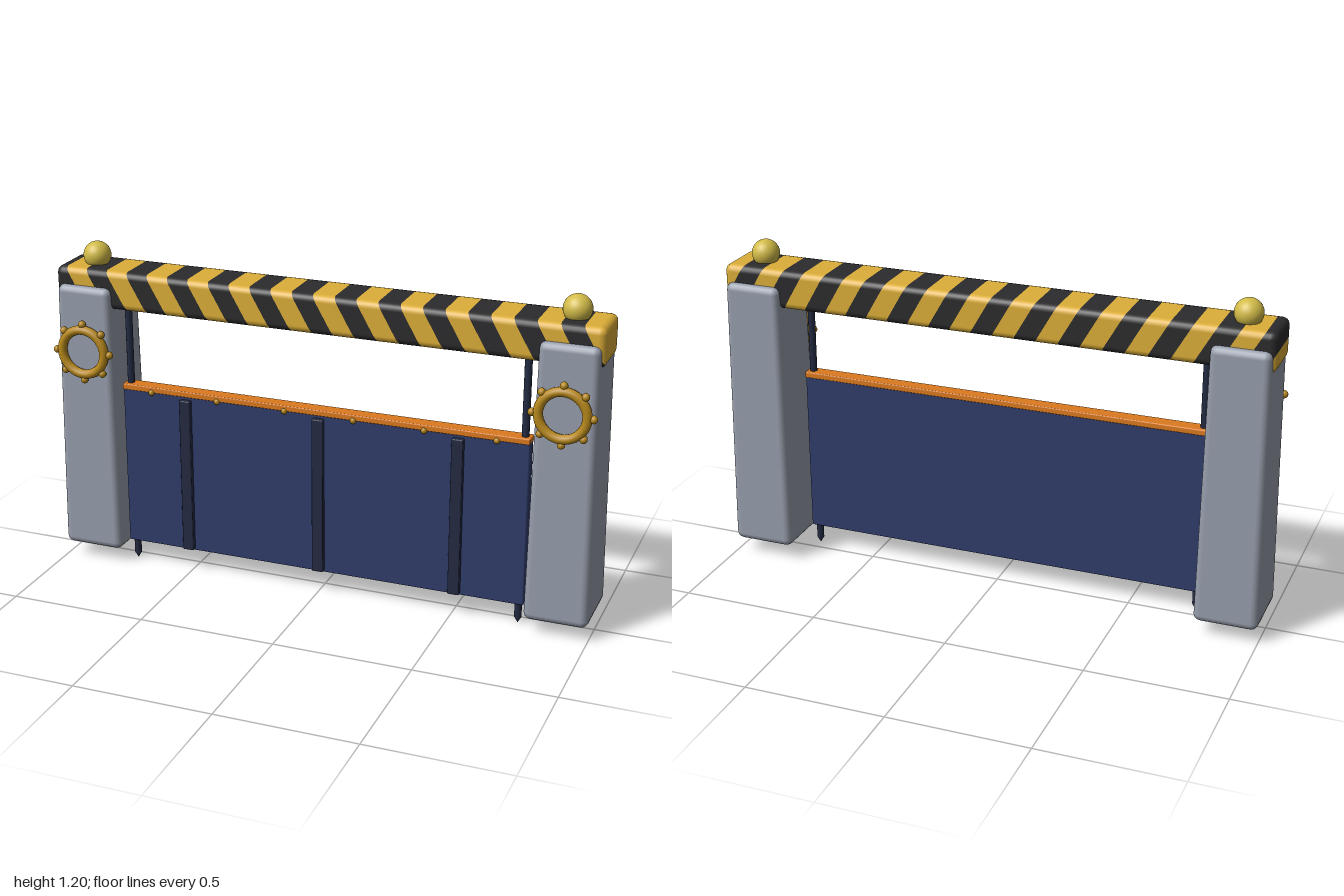
import * as THREE from 'three';
import { RoundedBoxGeometry } from 'three/addons/geometries/RoundedBoxGeometry.js';

const mat = (name, color) => {
  const m = new THREE.MeshStandardMaterial({ color });
  m.name = name;
  return m;
};

// Cut a non-indexed geometry to the slanted bands lo(i) <= f(p) <= hi(i), keeping its normals
function cutBands(geometry, f, bands) {
  const pos = geometry.attributes.position, nor = geometry.attributes.normal;
  const outPos = [], outNor = [];
  const clip = (poly, side) => {
    const res = [];
    poly.forEach((a, i) => {
      const b = poly[(i + 1) % poly.length], da = side(a.p), db = side(b.p);
      if (da >= 0) res.push(a);
      if (da * db < 0) {
        const t = da / (da - db);
        res.push({ p: a.p.clone().lerp(b.p, t), n: a.n.clone().lerp(b.n, t).normalize() });
      }
    });
    return res;
  };
  for (let i = 0; i < pos.count; i += 3) {
    const tri = [0, 1, 2].map((k) => ({
      p: new THREE.Vector3().fromBufferAttribute(pos, i + k),
      n: new THREE.Vector3().fromBufferAttribute(nor, i + k),
    }));
    for (const [lo, hi] of bands) {
      const poly = clip(clip(tri, (p) => f(p) - lo), (p) => hi - f(p));
      for (let k = 2; k < poly.length; k++) {
        for (const v of [poly[0], poly[k - 1], poly[k]]) {
          outPos.push(...v.p.toArray());
          outNor.push(...v.n.toArray());
        }
      }
    }
  }
  const g = new THREE.BufferGeometry();
  g.setAttribute('position', new THREE.Float32BufferAttribute(outPos, 3));
  g.setAttribute('normal', new THREE.Float32BufferAttribute(outNor, 3));
  return g;
}

export function createModel() {
  const group = new THREE.Group();
  const grey = mat('stone grey', 0x979eac);
  const yellow = mat('warning yellow', 0xdcae38);
  const black = mat('stripe black', 0x2b2b2d);
  const navy = mat('gate navy', 0x2f3c6a);
  const darkNavy = mat('dark steel', 0x232b42);
  const orange = mat('trim orange', 0xdc7a1e);
  const gold = mat('brass', 0xb8891c);
  const lamp = mat('lamp yellow', 0xd2bb48);

  const add = (name, geometry, material, x = 0, y = 0, z = 0, parent = group) => {
    const m = new THREE.Mesh(geometry, material);
    m.name = name;
    m.position.set(x, y, z);
    parent.add(m);
    return m;
  };

  const midZ = -0.01, gateZ = 0.043;

  // Striped crossbeam: bands lean with height, straight across the top
  const beam = new RoundedBoxGeometry(2, 0.142, 0.194, 2, 0.025);
  const lean = (p) => p.x - 0.57 * (0.071 - p.y);
  const period = 0.157, first = 0.061 - period * 8;
  const blackBands = [], yellowBands = [];
  for (let i = 0; i < 16; i++) {
    const a = first + i * period;
    blackBands.push([a, a + period / 2]);
    yellowBands.push([a + period / 2, a + period]);
  }
  add('beamBlackStripes', cutBands(beam, lean, blackBands), black, 0, 1.051, midZ);
  add('beamYellowStripes', cutBands(beam, lean, yellowBands), yellow, 0, 1.051, midZ);

  // Tapered post block
  const postH = 1.007;
  const post = new RoundedBoxGeometry(0.229, postH, 0.264, 2, 0.026);
  const pp = post.attributes.position;
  for (let i = 0; i < pp.count; i++) {
    const s = 1 - 0.1 * (pp.getY(i) / postH + 0.5);
    pp.setX(i, pp.getX(i) * s);
    pp.setZ(i, pp.getZ(i) * s);
  }

  // Guide rod with a pointed foot
  const rod = new THREE.LatheGeometry(
    [[0, 0], [0.013, 0.022], [0.013, 1.02], [0, 1.02]].map(([r, y]) => new THREE.Vector2(r, y)), 10);

  const ring = new THREE.TorusGeometry(0.083, 0.017, 12, 36);
  const knob = new THREE.SphereGeometry(0.014, 12, 8);

  for (const side of [-1, 1]) {
    const label = side > 0 ? 'left' : 'right';
    add(label + 'Post', post, grey, side * 0.885, 0.053 + postH / 2, midZ);
    add(label + 'Lamp', new THREE.SphereGeometry(0.05, 28, 18), lamp, side * 0.88, 1.15, midZ);
    add(label + 'GuideRod', rod, darkNavy, side * 0.737, 0, gateZ);

    // Ring with eight knobs on the post front
    const wheel = new THREE.Group();
    wheel.name = label + 'Ring';
    wheel.position.set(side * 0.88, 0.825, 0.131);
    group.add(wheel);
    add('ringBand', ring, gold, 0, 0, 0, wheel);
    for (let k = 0; k < 8; k++) {
      const a = (k * Math.PI) / 4;
      add('ringKnob', knob, gold, 0.104 * Math.cos(a), 0.104 * Math.sin(a), 0, wheel);
    }
  }

  // Gate panel with top trim, ribs and studs
  add('gatePanel', new RoundedBoxGeometry(1.52, 0.61, 0.044, 1, 0.006), navy, 0, 0.383, gateZ);
  add('topTrim', new RoundedBoxGeometry(1.52, 0.022, 0.056, 1, 0.004), orange, 0, 0.69, gateZ);
  for (const x of [-0.51, 0, 0.51]) {
    add('gateRib', new RoundedBoxGeometry(0.042, 0.585, 0.024, 1, 0.004), darkNavy, x, 0.377, 0.072);
  }
  for (let i = 0; i < 6; i++) {
    add('trimStud', new THREE.SphereGeometry(0.012, 12, 8), gold, (i - 2.5) * 0.258, 0.68, 0.067);
  }
  return group;
}
